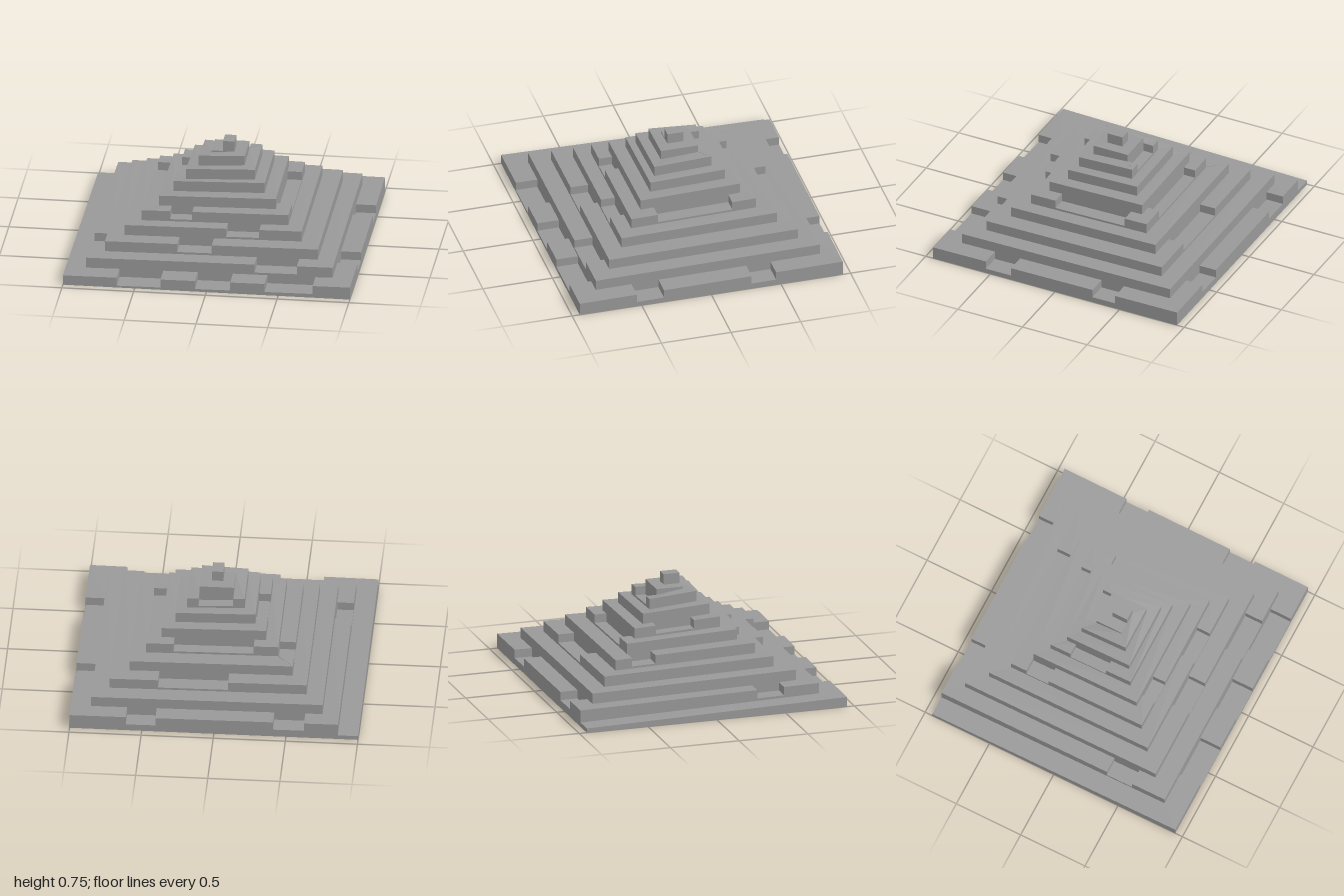
import * as THREE from 'three';

// Wall positions of each turn of the square spiral, outermost first
const LEFT = [-1, -0.86, -0.745, -0.625, -0.52, -0.41, -0.32, -0.24, -0.16, -0.08, 0];
const RIGHT = [1, 0.86, 0.74, 0.61, 0.505, 0.405, 0.315, 0.24, 0.16, 0.08];
const FRONT = [0.945, 0.79, 0.66, 0.535, 0.435, 0.34, 0.245, 0.195, 0.125, 0.055];
const BACK = [-0.945, -0.82, -0.695, -0.58, -0.46, -0.375, -0.29, -0.215, -0.14, -0.06];
const RISE = 0.0745;
const TOP = 0.68;
const RECESS_DEPTH = 0.06;

// Missing stones: [turn, side (0 -x, 1 front, 2 +x, 3 back), from, to]
const RECESSES = [
  [0, 1, -0.625, -0.32], [0, 1, -0.08, 0.165], [0, 1, 0.405, 0.74],
  [0, 2, 0.535, 0.34], [0, 2, -0.29, -0.465],
  [0, 3, 0.61, 0.405], [0, 3, -0.41, -0.625],
  [1, 0, 0.34, 0.535], [1, 1, 0.315, 0.61],
  [2, 1, -0.24, 0], [2, 3, 0.405, -0.08],
  [3, 1, 0.085, 0.315],
  [4, 0, -0.46, -0.29], [4, 1, -0.32, -0.165], [4, 2, 0.245, -0.29], [4, 3, 0.315, -0.24],
  [6, 0, -0.22, 0.055], [7, 3, 0.16, -0.08],
];

// Corners [x, height, z] along the rising spiral
function spiralCorners() {
  const points = [[LEFT[0], 0.03, BACK[0]]];
  for (let n = 0; n < 10; n++) {
    const h = (start) => Math.min(TOP, start + RISE * n);
    points.push(
      [LEFT[n], h(0.07), FRONT[n]],
      [RIGHT[n], h(0.09), FRONT[n]],
      [RIGHT[n], h(0.105), BACK[n]],
      [LEFT[n + 1], h(0.118), BACK[n]],
    );
  }
  points.push([LEFT[10], TOP, FRONT[9]]);
  return points;
}

// Four-sided block from the ground up to a sloping top
function blockGeometry(top) {
  const bottom = top.map(([x, , z]) => [x, 0, z]);
  const positions = [];
  const quad = (a, b, c, d) => positions.push(...a, ...b, ...c, ...a, ...c, ...d);
  quad(...top);
  quad(bottom[3], bottom[2], bottom[1], bottom[0]);
  for (let j = 0; j < 4; j++) {
    const k = (j + 1) % 4;
    quad(bottom[j], bottom[k], top[k], top[j]);
  }
  const geometry = new THREE.BufferGeometry();
  geometry.setAttribute('position', new THREE.Float32BufferAttribute(positions, 3));
  geometry.computeVertexNormals();
  return geometry;
}

export function createModel() {
  const model = new THREE.Group();
  model.name = 'spiralPyramid';
  const stone = new THREE.MeshStandardMaterial({ color: 0x999999 });
  stone.name = 'grey stone';
  const P = spiralCorners();
  const sideNames = ['rightSideRamp', 'frontRamp', 'leftSideRamp', 'backRamp'];

  // Ramp segments, mitred at the corners and split around missing stones
  for (let i = 0; i <= 36; i++) {
    const turn = Math.floor(i / 4);
    const side = i % 4;
    const axis = side % 2 === 0 ? 2 : 0;
    const start = P[i], end = P[i + 1];
    const innerStart = P[i + 4], innerEnd = P[i + 5];

    // Pair of outer and inner points across the ramp
    const across = (t) => {
      const f = (t - start[axis]) / (end[axis] - start[axis]);
      const y = THREE.MathUtils.lerp(start[1], end[1], f);
      return [start, innerStart].map((p) => {
        const q = [p[0], y, p[2]];
        q[axis] = t;
        return q;
      });
    };
    const sections = [[start, [innerStart[0], start[1], innerStart[2]]]];
    for (const [n, s, from, to] of RECESSES) {
      if (n === turn && s === side) sections.push(across(from), across(to));
    }
    sections.push([end, [innerEnd[0], end[1], innerEnd[2]]]);

    for (let k = 0; k < sections.length - 1; k++) {
      const drop = k % 2 ? RECESS_DEPTH : 0;
      const [a, d] = sections[k], [b, c] = sections[k + 1];
      const top = [a, b, c, d].map(([x, y, z]) => [x, Math.max(0.012, y - drop), z]);
      const mesh = new THREE.Mesh(blockGeometry(top), stone);
      mesh.name = drop ? 'recess' : sideNames[side];
      model.add(mesh);
    }
  }

  // Capstone
  const cap = new THREE.Mesh(new THREE.BoxGeometry(0.08, 0.755, 0.115), stone);
  cap.position.set(0.04, 0.3775, -0.0025);
  cap.name = 'capstone';
  model.add(cap);
  return model;
}
